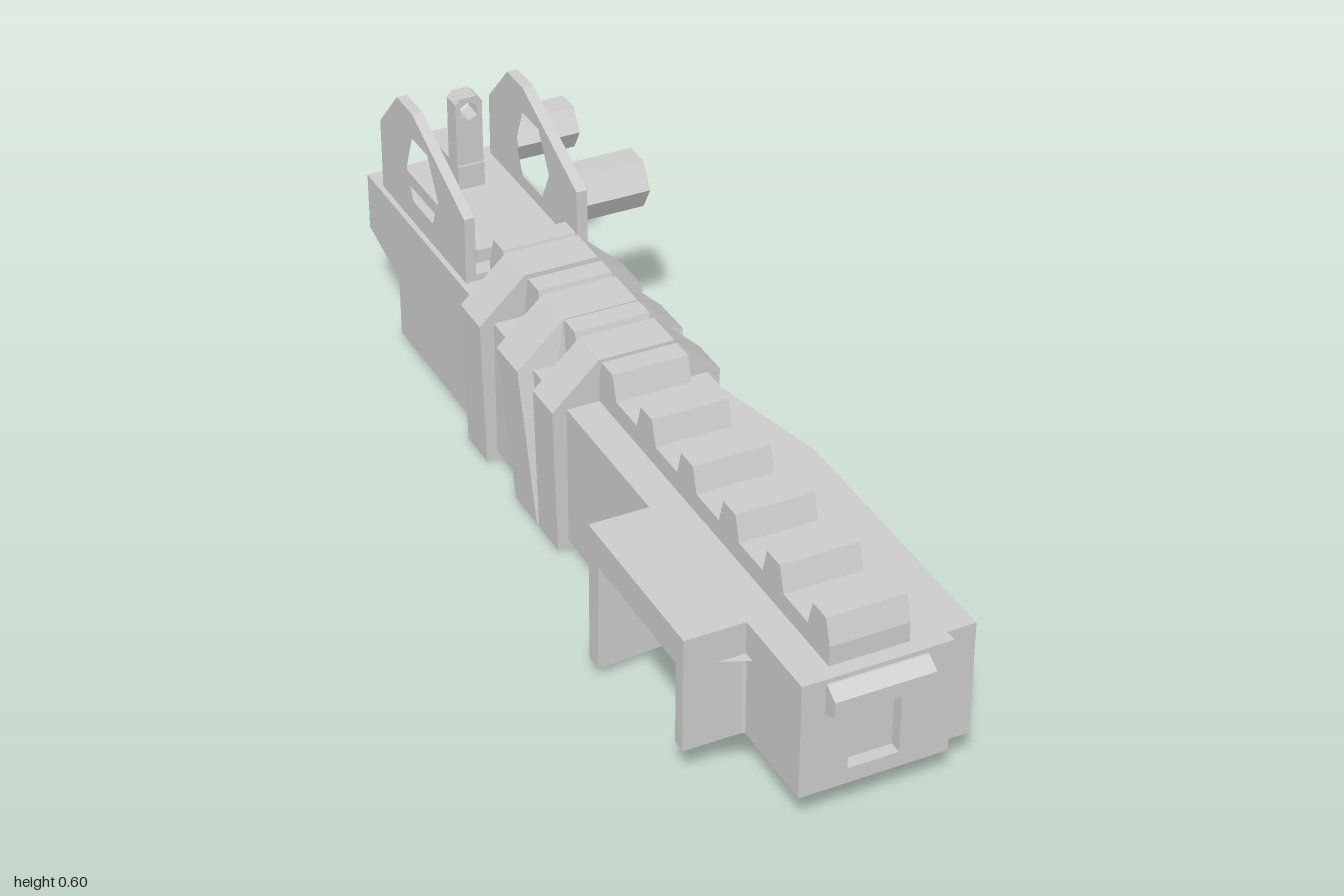
import * as THREE from 'three';

const material = new THREE.MeshStandardMaterial({ color: 0xcccccc, flatShading: true });

const toShape = (pts) => new THREE.Shape(pts.map(([a, b]) => new THREE.Vector2(a, b)));

// regular hexagon with points to the sides
const hexagon = (a, b, r) => Array.from({ length: 6 }, (_, i) => [
  a + r * Math.cos(i * Math.PI / 3), b + r * Math.sin(i * Math.PI / 3)]);

export function createModel() {
  const model = new THREE.Group();

  function add(name, geometry, parent = model) {
    const mesh = new THREE.Mesh(geometry, material);
    mesh.name = name;
    parent.add(mesh);
    return mesh;
  }

  // Extrudes an outline from lo to hi. axis x: points (z, y); y: (x, z); z: (x, y)
  function prism(name, axis, pts, lo, hi, hole, parent) {
    const map = ([a, b]) => axis === 'x' ? [-a, b] : axis === 'y' ? [a, -b] : [a, b];
    const shape = toShape(pts.map(map));
    if (hole) shape.holes.push(toShape(hole.map(map)));
    const g = new THREE.ExtrudeGeometry(shape, { depth: hi - lo, bevelEnabled: false });
    g.translate(0, 0, lo);
    if (axis === 'x') g.rotateY(Math.PI / 2);
    if (axis === 'y') g.rotateX(-Math.PI / 2);
    return add(name, g, parent);
  }

  function box(name, x0, x1, y0, y1, z0, z1, parent) {
    const g = new THREE.BoxGeometry(x1 - x0, y1 - y0, z1 - z0);
    g.translate((x0 + x1) / 2, (y0 + y1) / 2, (z0 + z1) / 2);
    return add(name, g, parent);
  }

  // rear body with stepped, sloping tail
  prism('rearBody', 'x', [[0.07, 0.02], [0.07, 0.33], [-1, 0.33], [-1, 0.2],
    [-0.84, 0.155], [-0.84, 0.02]], -0.155, 0.15);

  // flared middle with the rear wall of the opening
  prism('middleBody', 'y', [[0.15, 0.07], [0.21, 0.34], [0.21, 0.37], [-0.28, 0.41],
    [-0.28, 0.37], [-0.155, 0.37], [-0.155, 0.07]], 0.02, 0.33);

  // plate over the opening, with side shelf
  prism('topPlate', 'y', [[-0.155, 0.94], [0.21, 0.94], [0.21, 0.36], [-0.28, 0.375],
    [-0.28, 0.76], [-0.155, 0.76]], 0.26, 0.33);

  // front block with tabs at both sides
  prism('frontBlock', 'y', [[0.21, 0.94], [-0.155, 0.94], [-0.155, 0.76], [-0.28, 0.76],
    [-0.28, 0.73], [-0.157, 0.73], [-0.168, 0.757], [0.197, 0.937], [0.21, 0.925]], 0.08, 0.26);

  // slanted inner wall with hexagonal recess
  const inner = prism('innerWall', 'z', [[0, 0.08], [0.407, 0.08], [0.407, 0.26], [0, 0.26]],
    -0.03, 0, hexagon(0.18, 0.165, 0.08));
  inner.position.set(0.21, 0, 0.91);
  inner.rotation.y = Math.atan2(0.18, -0.365);

  // front cap with square recess, and its lip
  prism('frontCap', 'z', [[-0.155, 0.08], [0.15, 0.08], [0.15, 0.33], [-0.155, 0.33]], 0.94, 0.966,
    [[-0.057, 0.113], [0.048, 0.113], [0.048, 0.245], [-0.057, 0.245]]);
  prism('frontLip', 'x', [[0.96, 0.32], [0.97, 0.32], [1, 0.302], [1, 0.27], [0.965, 0.25],
    [0.96, 0.25]], -0.107, 0.097);

  // toothed rail
  const rail = [[0.935, 0.33], [0.935, 0.37]];
  for (let i = 0; i < 9; i++) {
    const z = 0.895 - i * 0.17;
    rail.push([z + 0.04, 0.372], [z + 0.024, 0.425], [z - 0.024, 0.425], [z - 0.04, 0.372]);
  }
  rail.push([-0.51, 0.37], [-0.51, 0.33]);
  prism('rail', 'x', rail, -0.085, 0.077);

  // wrapped bands; lean shifts z with height
  const bandOutline = [[-0.178, 0], [0.168, 0.005], [0.178, 0.33], [0.077, 0.425],
    [-0.085, 0.425], [-0.186, 0.33]];
  [[-0.08, 0.01, 0], [-0.19, -0.09, -0.19], [-0.43, -0.335, 0]].forEach(([z0, z1, lean], i) => {
    const band = prism('band' + (i + 1), 'z', bandOutline, z0, z1);
    const p = band.geometry.attributes.position;
    for (let k = 0; k < p.count; k++) p.setZ(k, p.getZ(k) + lean * Math.min(p.getY(k), 0.33));
    band.geometry.computeVertexNormals();
  });

  // rear sight
  const sight = new THREE.Group();
  sight.name = 'rearSight';
  model.add(sight);
  const guard = [[-0.5, 0.33], [-0.5, 0.48], [-0.76, 0.595], [-0.84, 0.595], [-0.94, 0.49],
    [-0.94, 0.33]];
  const window_ = [[-0.685, 0.535], [-0.765, 0.535], [-0.8, 0.45], [-0.77, 0.38],
    [-0.67, 0.38], [-0.635, 0.45]];
  [['leftGuard', 0.108, 0.132], ['rightGuard', -0.143, -0.12]].forEach(([name, lo, hi]) =>
    prism(name, 'x', guard, lo, hi, window_, sight));
  box('sightFloor', -0.12, 0.108, 0.33, 0.345, -0.94, -0.5, sight);
  box('sightBase', -0.1, 0.09, 0.33, 0.375, -0.91, -0.54, sight);
  box('sightFoot', -0.035, 0.025, 0.37, 0.43, -0.95, -0.78, sight);
  prism('sightPost', 'z', [[-0.035, 0.37], [0.025, 0.37], [0.025, 0.575], [0.013, 0.588],
    [-0.023, 0.588], [-0.035, 0.575]], -0.83, -0.785,
    hexagon(0, 0, 0.022).map(([a, b]) => [b - 0.005, a + 0.555]), sight);

  // hexagonal adjustment knobs on the left guard
  prism('frontKnob', 'x', hexagon(-0.57, 0.437, 0.062), 0.12, 0.28, null, sight);
  prism('rearKnob', 'x', hexagon(-0.87, 0.424, 0.056), 0.12, 0.263, null, sight);

  // stacked catch under the tail
  const catchGroup = new THREE.Group();
  catchGroup.name = 'tailCatch';
  catchGroup.position.set(0, 0.178, -0.915);
  catchGroup.rotation.x = 0.275;
  box('catchStem', -0.03, 0.025, -0.045, 0.01, -0.02, 0.02, catchGroup);
  box('catchUpperPlate', -0.06, 0.055, -0.026, -0.012, -0.035, 0.035, catchGroup);
  box('catchLowerPlate', -0.06, 0.055, -0.058, -0.043, -0.035, 0.035, catchGroup);
  model.add(catchGroup);

  return model;
}
